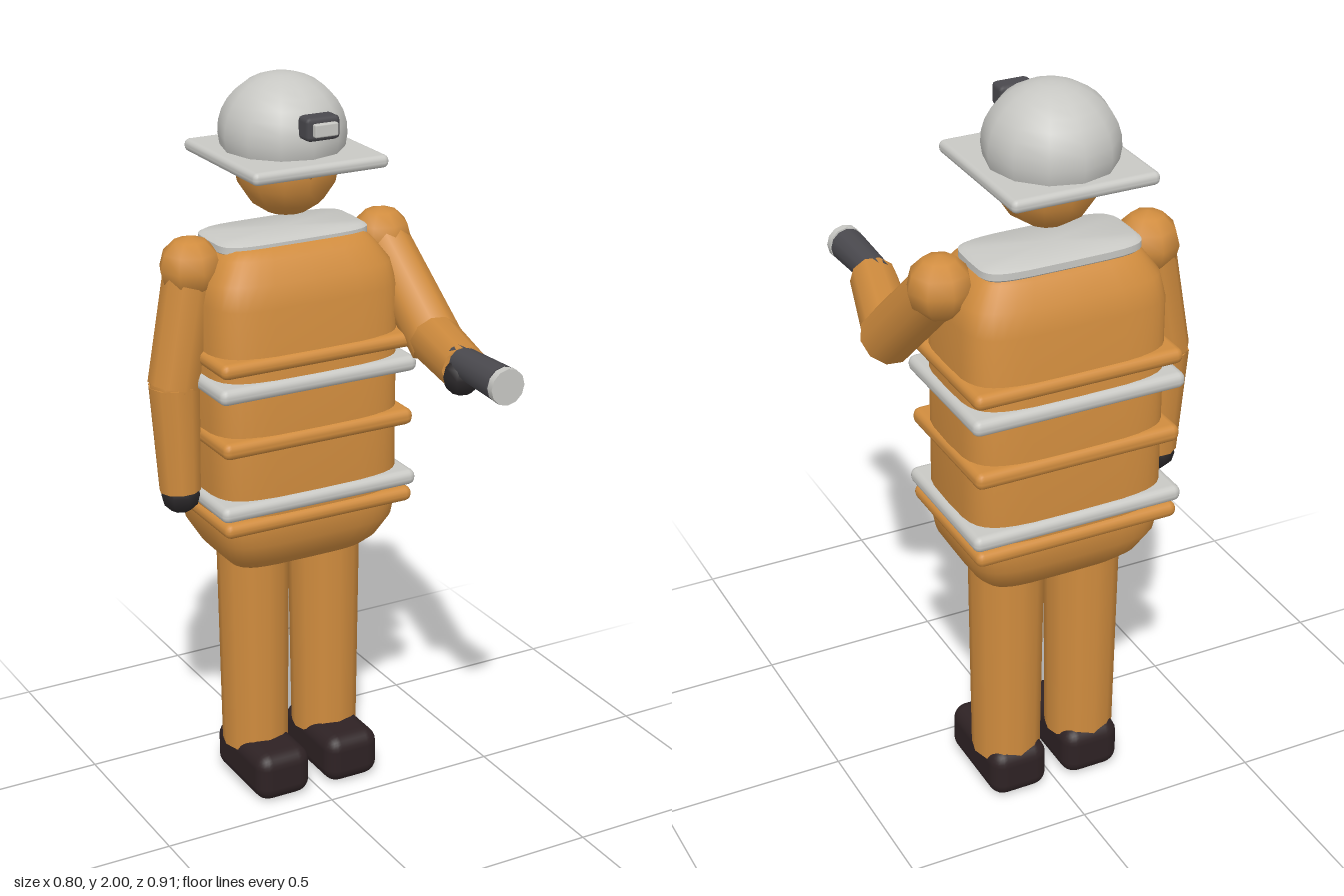
import * as THREE from 'three';
import { RoundedBoxGeometry } from 'three/addons/geometries/RoundedBoxGeometry.js';
import { toCreasedNormals } from 'three/addons/utils/BufferGeometryUtils.js';

const mat = (name, color) => {
  const m = new THREE.MeshStandardMaterial({ color });
  m.name = name;
  return m;
};

// Rounded-rectangle sections [y, halfWidth, halfDepth], listed top to bottom, closed at both ends
function loft(rows, power, sides = 36) {
  const all = [[rows[0][0], 0, 0], ...rows, [rows[rows.length - 1][0], 0, 0]];
  const pos = [], idx = [];
  const bend = v => Math.sign(v) * Math.pow(Math.abs(v), 2 / power);
  all.forEach(([y, hx, hz], r) => {
    for (let i = 0; i < sides; i++) {
      const a = i / sides * Math.PI * 2;
      pos.push(hx * bend(Math.cos(a)), y, hz * bend(Math.sin(a)));
      if (r === 0) continue;
      const n = (i + 1) % sides, up = (r - 1) * sides, lo = r * sides;
      if (r < all.length - 1) idx.push(lo + i, up + i, lo + n);
      if (r > 1) idx.push(lo + n, up + i, up + n);
    }
  });
  const g = new THREE.BufferGeometry();
  g.setAttribute('position', new THREE.Float32BufferAttribute(pos, 3));
  g.setIndex(idx);
  return toCreasedNormals(g, 0.7);
}

export function createModel() {
  const model = new THREE.Group();
  model.name = 'worker';
  const orange = mat('orange suit', 0xd08c3e);
  const grey = mat('pale grey', 0xc8c8c4);
  const charcoal = mat('charcoal', 0x4a494e);
  const black = mat('glove black', 0x2b282a);
  const boot = mat('boot brown', 0x2e2224);
  const Z = -0.25;

  const add = (name, geo, material, x = 0, y = 0, z = 0) => {
    const m = new THREE.Mesh(geo, material);
    m.name = name;
    m.position.set(x, y, z);
    model.add(m);
    return m;
  };
  const box = (name, material, w, h, d, r, x, y, z, seg = 2) =>
    add(name, new RoundedBoxGeometry(w, h, d, seg, r), material, x, y, z);
  const ball = (name, material, r, p, ws = 8, hs = 6) =>
    add(name, new THREE.SphereGeometry(r, ws, hs), material, ...p);
  // Tapered cylinder from point a to point b
  const limb = (name, material, a, b, ra, rb, sides = 12) => {
    const A = new THREE.Vector3(...a), B = new THREE.Vector3(...b);
    const dir = B.clone().sub(A);
    const mid = A.clone().add(B).multiplyScalar(0.5);
    const m = add(name, new THREE.CylinderGeometry(rb, ra, dir.length(), sides), material, mid.x, mid.y, mid.z);
    m.quaternion.setFromUnitVectors(new THREE.Vector3(0, 1, 0), dir.normalize());
    return m;
  };

  // Torso and collar
  add('torso', loft([
    [1.575, 0.2, 0.105], [1.555, 0.222, 0.13], [1.5, 0.262, 0.165], [1.44, 0.274, 0.184],
    [0.83, 0.274, 0.184], [0.78, 0.264, 0.18], [0.72, 0.228, 0.148], [0.69, 0.2, 0.115],
  ], 4.5), orange, 0, 0, Z);
  add('collar', loft([
    [1.592, 0.205, 0.096], [1.584, 0.218, 0.108], [1.566, 0.218, 0.108], [1.557, 0.208, 0.1],
  ], 5), grey, 0, 0, -0.266);

  // Jacket bands
  for (const [name, material, y, w, d, h] of [
    ['chestBand', orange, 1.293, 0.57, 0.392, 0.042],
    ['upperReflectiveBand', grey, 1.226, 0.582, 0.4, 0.044],
    ['waistBand', orange, 1.074, 0.565, 0.392, 0.046],
    ['lowerReflectiveBand', grey, 0.898, 0.582, 0.4, 0.044],
    ['hemBand', orange, 0.849, 0.565, 0.392, 0.042],
  ]) box(name, material, w, h, d, 0.02, 0, y, Z);

  // Legs and boots
  for (const s of [1, -1]) {
    const side = s > 0 ? 'left' : 'right';
    limb(side + 'Leg', orange, [s * 0.11, 0.11, Z], [s * 0.11, 0.76, Z], 0.092, 0.1);
    box(side + 'Boot', boot, 0.164, 0.142, 0.29, 0.042, s * 0.108, 0.071, -0.205, 3);
  }

  // Head
  ball('head', orange, 0.138, [0, 1.769, -0.246], 12, 8);
  add('nose', new THREE.OctahedronGeometry(0.018), orange, 0, 1.77, -0.112);

  // Helmet with square brim
  const shell = add('helmetShell', new THREE.SphereGeometry(1, 12, 10, 0, Math.PI * 2, 0, Math.PI * 0.64), grey, 0, 1.848, -0.265);
  shell.scale.set(0.166, 0.152, 0.174);
  box('helmetBrim', grey, 0.388, 0.034, 0.412, 0.015, 0, 1.791, Z);

  // Headlamp
  box('headlampCase', charcoal, 0.096, 0.062, 0.058, 0.013, 0, 1.9, -0.067, 1);
  box('headlampLens', grey, 0.066, 0.034, 0.04, 0.004, 0, 1.9, -0.044, 1);

  // Left arm, reaching forward
  const lShoulder = [0.287, 1.525, Z], lElbow = [0.322, 1.3, -0.03], lWrist = [0.245, 1.313, 0.253];
  ball('leftShoulder', orange, 0.084, lShoulder);
  limb('leftUpperArm', orange, lShoulder, [0.325, 1.285, -0.013], 0.072, 0.074, 10);
  ball('leftElbow', orange, 0.067, lElbow);
  limb('leftForearm', orange, lElbow, lWrist, 0.07, 0.062, 10);
  ball('leftGlove', black, 0.052, [0.236, 1.3, 0.25]);

  // Torch held in the left hand
  limb('torchBody', charcoal, [0.243, 1.333, 0.22], [0.243, 1.333, 0.428], 0.039, 0.047);
  limb('torchLens', grey, [0.243, 1.333, 0.434], [0.243, 1.333, 0.454], 0.048, 0.048);
  limb('torchNeck', charcoal, [0.243, 1.333, 0.42], [0.243, 1.333, 0.436], 0.035, 0.035);

  // Right arm, hanging down
  const rShoulder = [-0.278, 1.525, Z], rElbow = [-0.333, 1.215, Z];
  ball('rightShoulder', orange, 0.084, rShoulder);
  limb('rightUpperArm', orange, rShoulder, rElbow, 0.07, 0.07, 10);
  ball('rightElbow', orange, 0.068, rElbow);
  limb('rightForearm', orange, rElbow, [-0.328, 0.92, -0.24], 0.069, 0.056, 10);
  ball('rightGlove', black, 0.055, [-0.327, 0.91, -0.24]);

  return model;
}
